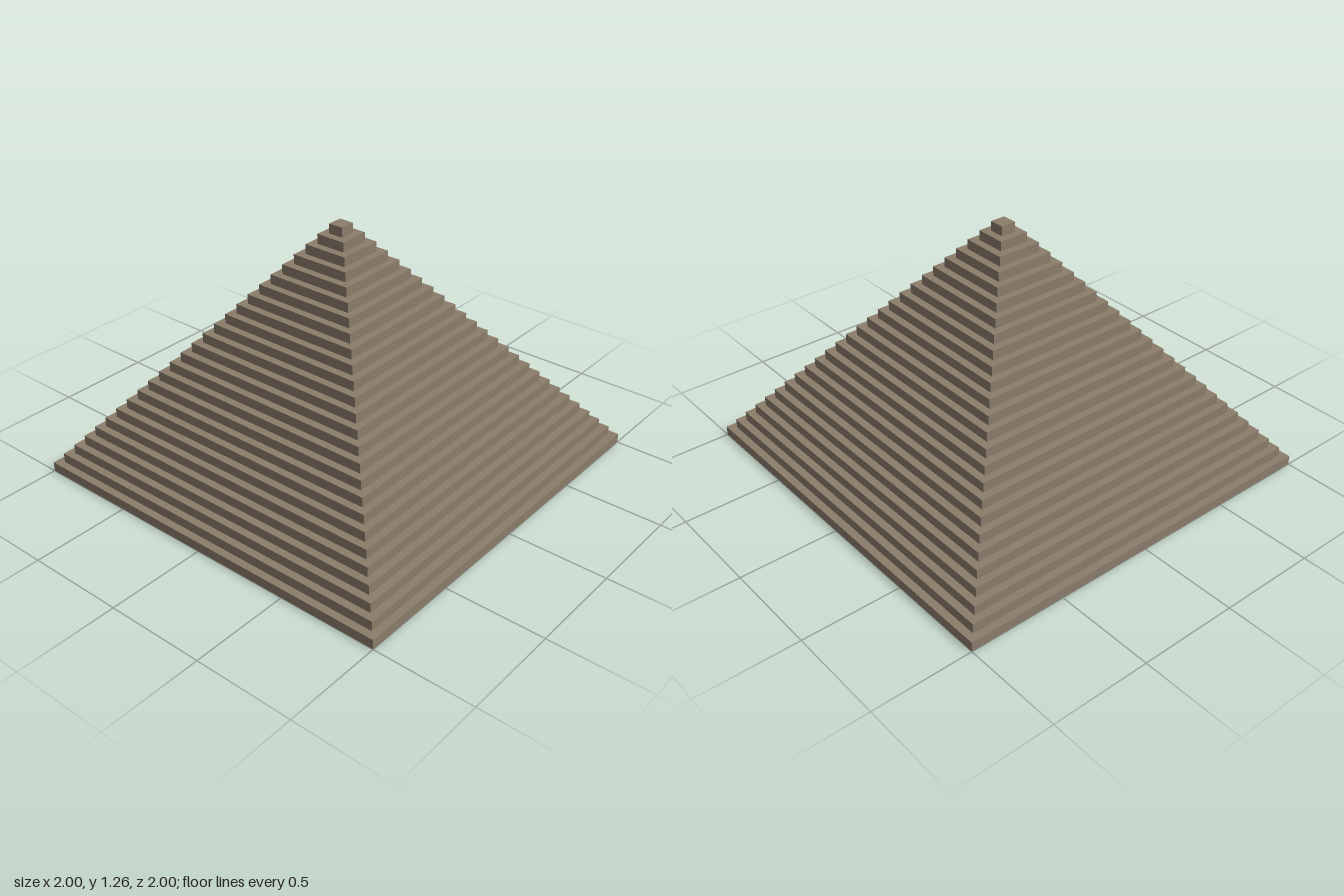
import * as THREE from 'three';

const LAYERS = 26;
const HEIGHT = 1.262;

export function createModel() {
  const model = new THREE.Group();
  model.name = 'steppedPyramid';

  const stone = new THREE.MeshStandardMaterial({ color: 0x8b7d6b });
  stone.name = 'stone';

  // Square courses of equal height, each one step narrower than the one below
  const courseHeight = HEIGHT / LAYERS;
  for (let i = 0; i < LAYERS; i++) {
    const width = 2 * (1 - i / LAYERS);
    const course = new THREE.Mesh(new THREE.BoxGeometry(width, courseHeight, width), stone);
    course.name = i === LAYERS - 1 ? 'capstone' : `course${i + 1}`;
    course.position.y = (i + 0.5) * courseHeight;
    model.add(course);
  }
  return model;
}
